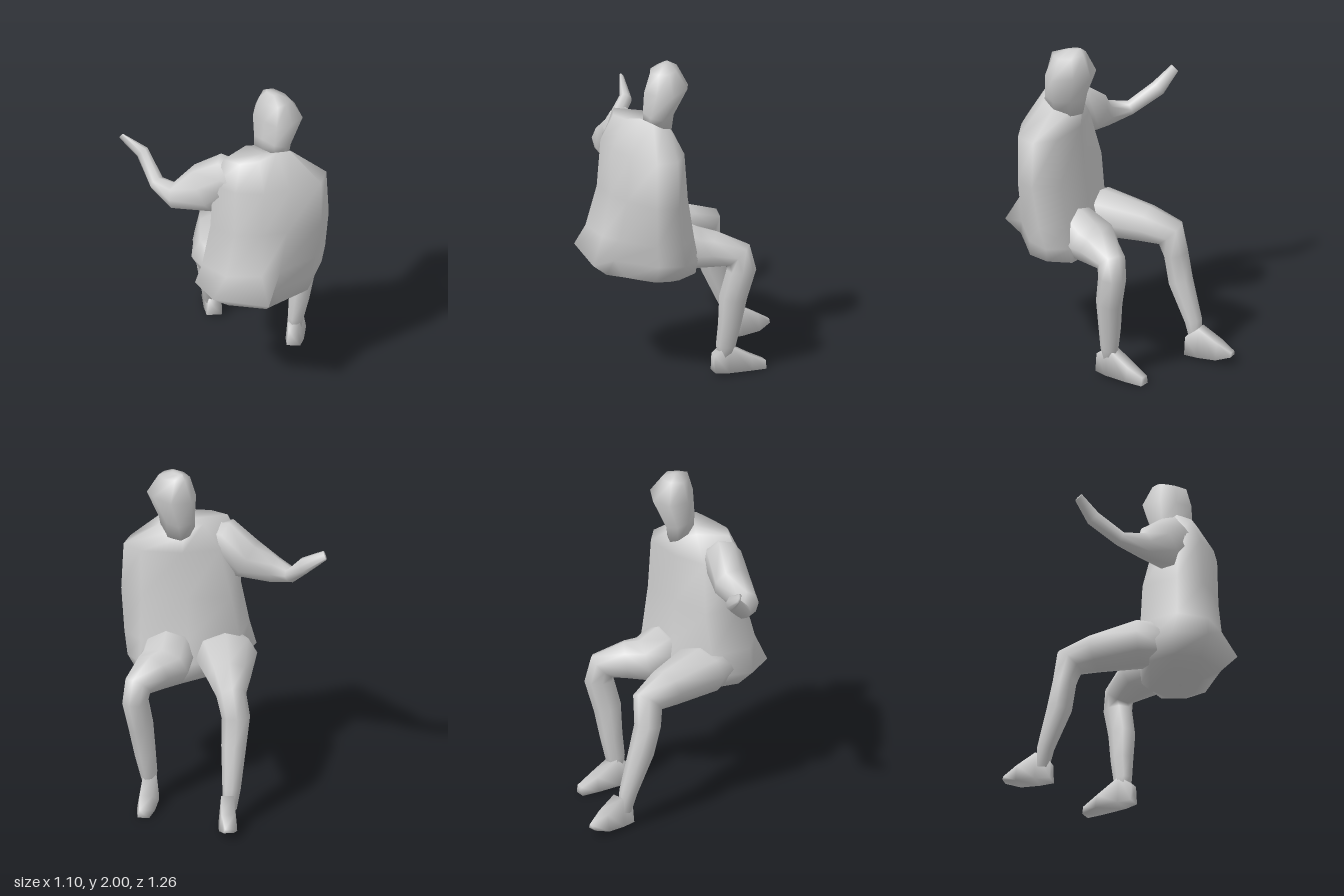
import * as THREE from 'three';

const grey = new THREE.MeshStandardMaterial({ color: 0xcccccc });
grey.name = 'plain grey';

// Closed smooth skin through rings of equal point count
function loft(name, rings) {
  const n = rings[0].length, pos = rings.flat(2), idx = [];
  for (let r = 0; r < rings.length - 1; r++)
    for (let i = 0; i < n; i++) {
      const a = r * n + i, b = r * n + (i + 1) % n;
      idx.push(a, b, b + n, a, b + n, a + n);
    }
  // Fan caps around the centre of each end ring
  for (const r of [0, rings.length - 1]) {
    const c = pos.length / 3;
    for (let k = 0; k < 3; k++) pos.push(rings[r].reduce((s, p) => s + p[k], 0) / n);
    for (let i = 0; i < n; i++) {
      const a = r * n + i, b = r * n + (i + 1) % n;
      if (r === 0) idx.push(c, b, a); else idx.push(c, a, b);
    }
  }
  const geo = new THREE.BufferGeometry();
  geo.setAttribute('position', new THREE.Float32BufferAttribute(pos, 3));
  geo.setIndex(idx);
  geo.computeVertexNormals();
  const mesh = new THREE.Mesh(geo, grey);
  mesh.name = name;
  return mesh;
}

// Eight-sided limb: stations are [x, y, z, half width along side, half depth]
function limb(name, side, stations) {
  const pts = stations.map(s => new THREE.Vector3(s[0], s[1], s[2]));
  const last = pts.length - 1;
  const rings = stations.map((s, i) => {
    const t = new THREE.Vector3();
    if (i > 0) t.add(pts[i].clone().sub(pts[i - 1]).normalize());
    if (i < last) t.add(pts[i + 1].clone().sub(pts[i]).normalize());
    t.normalize();
    const u = new THREE.Vector3(...side);
    u.addScaledVector(t, -u.dot(t)).normalize();
    const v = t.clone().cross(u);
    return Array.from({ length: 8 }, (_, k) => {
      const a = k * Math.PI / 4;
      return pts[i].clone().addScaledVector(u, s[3] * Math.cos(a))
        .addScaledVector(v, s[4] * Math.sin(a)).toArray();
    });
  });
  return loft(name, rings);
}

// Four-sided foot from heel [x, z] to toe [x, z]; sections are [part of length, half width, bottom, top]
function foot(name, heel, toe, sections) {
  const dx = toe[0] - heel[0], dz = toe[1] - heel[1], len = Math.hypot(dx, dz);
  return loft(name, sections.map(([t, w, low, high]) => {
    const x = heel[0] + dx * t, z = heel[1] + dz * t;
    const ux = w * dz / len, uz = -w * dx / len;
    return [[x + ux, low, z + uz], [x + ux * 0.7, high, z + uz * 0.7],
      [x - ux * 0.7, high, z - uz * 0.7], [x - ux, low, z - uz]];
  }));
}

// Horizontal ring from [x, z] or [x, z, own height]
const level = (y, pts) => pts.map(([x, z, h]) => [x, h ?? y, z]);

export function createModel() {
  const g = new THREE.Group();
  g.name = 'seatedFigure';

  // Torso in a loose coat, flaring to a tail at the lower right
  g.add(loft('torso', [
    level(0.66, [[-.24, .25], [-.24, .38], [-.2, .43], [-.1, .45], [0, .46], [.08, .42], [.1, .32], [.05, .2], [-.15, .2]]),
    level(0.70, [[-.4, .17], [-.42, .33], [-.29, .52], [-.17, .53], [.03, .55], [.15, .48], [.21, .34], [.06, .15], [-.25, .08]]),
    level(0.80, [[-.49, .12], [-.55, .33], [-.35, .6, .78], [-.24, .53], [.05, .56], [.2, .5], [.23, .35], [.04, .13], [-.28, .03]]),
    level(0.94, [[-.47, .16], [-.47, .36], [-.32, .51], [-.2, .55], [.05, .59], [.19, .54], [.21, .37], [0, .18], [-.26, .01]]),
    level(1.20, [[-.42, .18], [-.4, .36], [-.28, .48], [-.15, .56], [.06, .635], [.18, .58], [.18, .4], [-.01, .2], [-.22, .04]]),
    level(1.49, [[-.41, .19], [-.38, .35], [-.27, .48], [-.13, .56], [.06, .635], [.17, .57], [.165, .42], [0, .23], [-.2, .12]]),
    level(1.65, [[-.34, .21], [-.31, .32], [-.22, .39, 1.66], [-.11, .43, 1.69], [-.02, .45, 1.67], [.03, .41, 1.63], [.05, .33, 1.6], [0, .22, 1.6], [-.14, .2]]),
  ]));

  // Head and neck, leaning to the left
  g.add(loft('head', [
    level(1.6, [[-.11, .31, 1.66], [-.1, .4, 1.66], [-.05, .44, 1.64], [.02, .4], [.05, .31, 1.58], [.02, .22, 1.58], [-.03, .2], [-.09, .22, 1.64]]),
    level(1.7, [[-.11, .31, 1.73], [-.1, .4, 1.72], [-.04, .44, 1.7], [.03, .41, 1.68], [.06, .31, 1.68], [.04, .22, 1.67], [-.03, .18, 1.69], [-.09, .22, 1.71]]),
    level(1.85, [[-.095, .31], [-.09, .41], [0, .45], [.1, .44], [.155, .32, 1.87], [.12, .2], [.01, .135], [-.09, .21]]),
    level(1.97, [[-.08, .31], [-.06, .39], [0, .4], [.06, .38], [.08, .31], [.06, .23, 1.98], [.01, .2, 1.98], [-.06, .23]]),
    level(2.0, [[-.02, .29], [-.015, .31], [0, .32], [.015, .31], [.02, .28], [.015, .25], [0, .23], [-.015, .25]]),
  ]));

  // Right arm close to the side, forearm and hand held out
  g.add(limb('rightArm', [1, 0, 0.25], [
    [-.24, 1.5, .32, .08, .1], [-.3, 1.51, .19, .12, .135], [-.375, 1.4, .075, .115, .15],
    [-.485, 1.335, -.06, .07, .085], [-.48, 1.355, -.21, .05, .045],
    [-.44, 1.48, -.37, .037, .05], [-.5, 1.57, -.49, .01, .03],
  ]));

  // Right leg, reaching forward
  g.add(limb('rightLeg', [0.8, 0, 0.6], [
    [-.24, .83, .2, .17, .12], [-.18, .835, .04, .19, .14], [-.01, .805, -.18, .13, .115],
    [.08, .765, -.305, .09, .105], [.075, .63, -.34, .085, .075], [.11, .46, -.36, .075, .08],
    [.18, .22, -.42, .055, .055], [.2, .1, -.43, .04, .04],
  ]));
  g.add(foot('rightFoot', [.18, -.38], [.37, -.61], [
    [0, .045, .02, .13], [.3, .055, .02, .2], [.7, .055, .025, .13], [1, .03, .05, .075],
  ]));

  // Left leg, turned outward and blending up into the lap
  g.add(limb('leftLeg', [0.4, 0, 0.9], [
    [.02, .85, .35, .13, .14], [.08, .845, .27, .16, .155], [.18, .81, .2, .17, .125],
    [.28, .805, .19, .13, .115], [.42, .77, .155, .088, .095], [.44, .68, .155, .08, .09],
    [.39, .5, .16, .075, .085], [.365, .32, .15, .065, .07], [.34, .18, .145, .05, .06],
    [.33, .1, .145, .04, .04],
  ]));
  g.add(foot('leftFoot', [.275, .19], [.53, -.02], [
    [0, .04, .02, .13], [.25, .055, .015, .19], [.7, .055, .01, .1], [1, .035, 0, .05],
  ]));

  return g;
}
